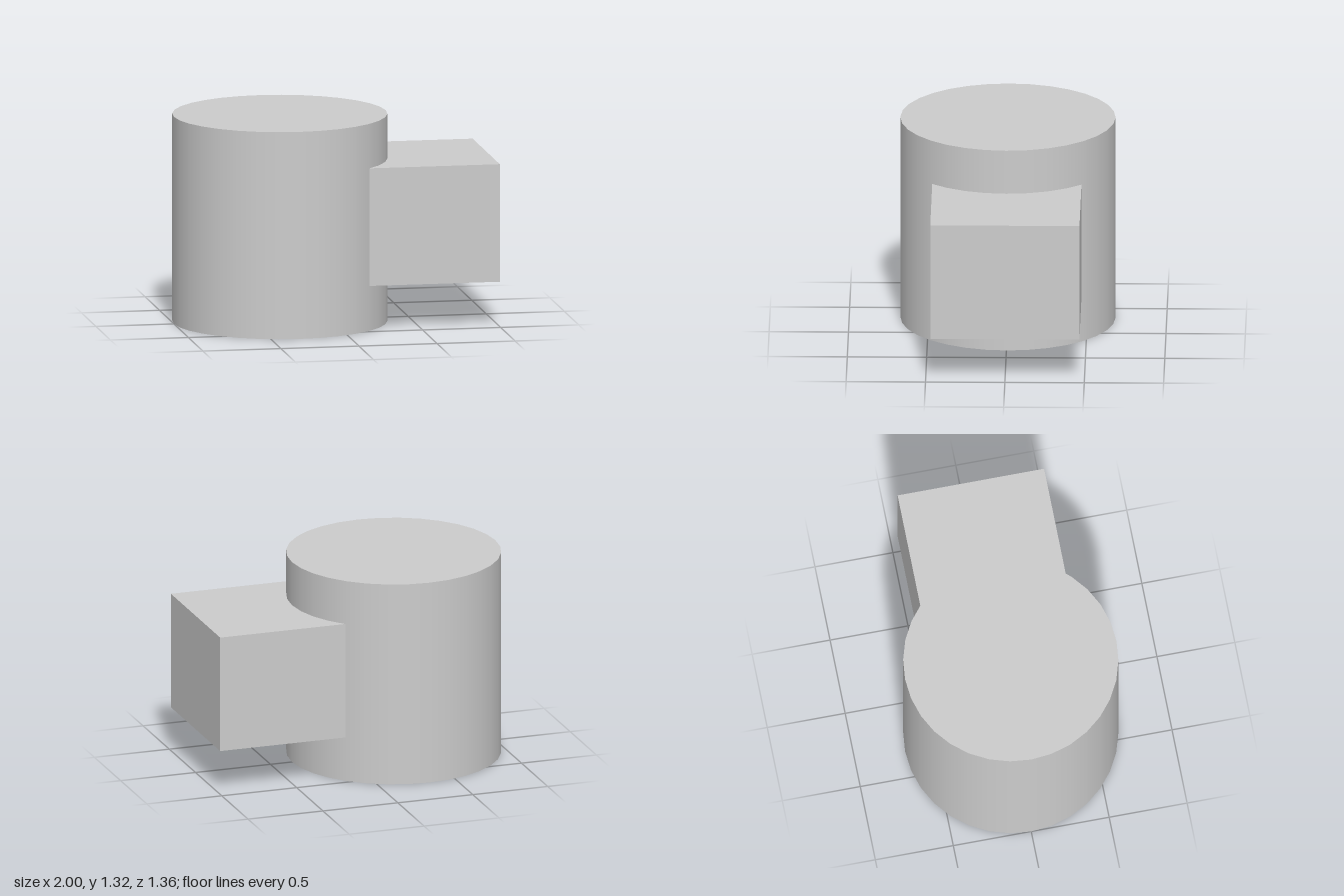
import * as THREE from 'three';

export function createModel() {
  const model = new THREE.Group();
  const grey = new THREE.MeshStandardMaterial({ color: 0xcccccc });
  grey.name = 'plain grey';

  // Upright drum with smooth sides and flat caps
  const radius = 0.678, height = 1.324;
  const drum = new THREE.Mesh(new THREE.CylinderGeometry(radius, radius, height, 32), grey);
  drum.name = 'drum';
  drum.position.set(radius - 1, height / 2, 0);
  model.add(drum);

  // Side block, its inner end just sunk into the drum wall
  const inner = 0.155, outer = 1, bottom = 0.287, top = 1.039;
  const block = new THREE.Mesh(new THREE.BoxGeometry(outer - inner, top - bottom, 0.94), grey);
  block.name = 'sideBlock';
  block.position.set((inner + outer) / 2, (bottom + top) / 2, 0);
  model.add(block);

  return model;
}
